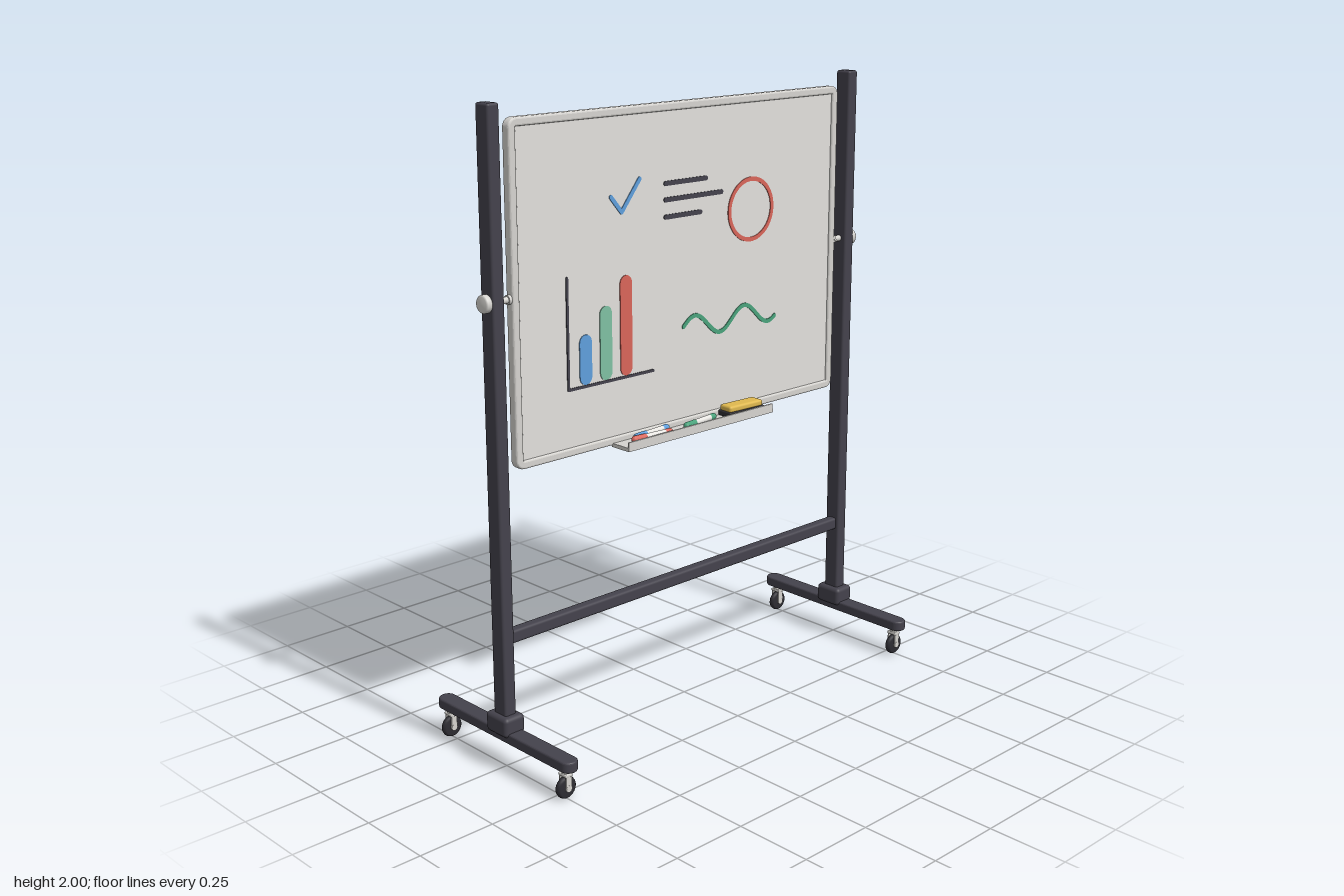
import * as THREE from 'three';
import { RoundedBoxGeometry } from 'three/addons/geometries/RoundedBoxGeometry.js';

const mat = (name, color) => Object.assign(new THREE.MeshStandardMaterial({ color }), { name });

export function createModel() {
  const M = {
    steel: mat('dark steel', 0x44424c),
    rubber: mat('black rubber', 0x2e2d33),
    metal: mat('light aluminium', 0xd6d4d0),
    panel: mat('board surface', 0xe2e0dc),
    white: mat('marker white', 0xf2f0ec),
    blue: mat('blue ink', 0x5f9fdc),
    red: mat('red ink', 0xd9655a),
    green: mat('green ink', 0x4aa37c),
    paleGreen: mat('pale green ink', 0x7fc0a3),
    yellow: mat('eraser yellow', 0xe0b94f),
  };
  const model = new THREE.Group();
  model.name = 'rollingWhiteboard';

  const add = (name, geo, material, x = 0, y = 0, z = 0, parent = model) => {
    const mesh = new THREE.Mesh(geo, material);
    mesh.name = name;
    mesh.position.set(x, y, z);
    parent.add(mesh);
    return mesh;
  };
  const rbox = (w, h, d, r) => new RoundedBoxGeometry(w, h, d, 3, r);
  const cyl = (r, h, axis = 'y', r2 = r) => {
    const g = new THREE.CylinderGeometry(r2, r, h, 24);
    if (axis === 'x') g.rotateZ(-Math.PI / 2);
    if (axis === 'z') g.rotateX(Math.PI / 2);
    return g;
  };
  const roundRect = (S, w, h, r) => {
    const s = new S(), x = w / 2, y = h / 2;
    s.moveTo(-x + r, -y);
    s.absarc(x - r, -y + r, r, -Math.PI / 2, 0);
    s.absarc(x - r, y - r, r, 0, Math.PI / 2);
    s.absarc(-x + r, y - r, r, Math.PI / 2, Math.PI);
    s.absarc(-x + r, -y + r, r, Math.PI, Math.PI * 1.5);
    s.closePath();
    return s;
  };

  // Two uprights, each with a foot, casters and a pivot
  for (const side of [-1, 1]) {
    const stand = new THREE.Group();
    stand.name = side > 0 ? 'leftStand' : 'rightStand';
    stand.position.x = side * 0.75;
    model.add(stand);
    add('post', rbox(0.042, 1.88, 0.058, 0.008), M.steel, 0, 1.06, 0, stand);
    add('postSocket', rbox(0.076, 0.064, 0.1, 0.014), M.steel, 0, 0.147, 0, stand);

    const foot = new THREE.ExtrudeGeometry(roundRect(THREE.Shape, 0.043, 0.628, 0.0214), {
      depth: 0.023, bevelThickness: 0.006, bevelSize: 0.006, bevelSegments: 3, curveSegments: 10,
    });
    foot.rotateX(-Math.PI / 2);
    add('foot', foot, M.steel, 0, 0.101, 0, stand);

    for (const z of [-0.278, 0.278]) {
      const caster = new THREE.Group();
      caster.name = 'caster';
      caster.position.z = z;
      stand.add(caster);
      add('casterStem', cyl(0.012, 0.024), M.metal, 0, 0.088, 0, caster);
      add('forkTop', rbox(0.026, 0.01, 0.036, 0.003), M.metal, 0, 0.077, 0, caster);
      add('wheel', rbox(0.001, 0.001, 0.001, 0.0002), M.rubber, 0, 0.035, 0, caster).geometry =
        new THREE.LatheGeometry([[0, -0.011], [0.028, -0.011], [0.033, -0.007], [0.035, 0],
          [0.033, 0.007], [0.028, 0.011], [0, 0.011]].map(p => new THREE.Vector2(...p)), 28).rotateX(Math.PI / 2);
      for (const s of [-1, 1]) {
        add('forkArm', rbox(0.022, 0.046, 0.005, 0.002), M.metal, 0, 0.056, s * 0.0145, caster);
        add('axleCap', cyl(0.011, 0.006, 'z'), M.metal, 0, 0.035, s * 0.0145, caster);
      }
    }

    // Pivot rod, collar and clamping knob
    add('pivotRod', cyl(0.01, 0.1, 'x'), M.metal, -side * 0.015, 1.44, 0, stand);
    add('pivotCollar', cyl(0.014, 0.01, 'x'), M.metal, -side * 0.055, 1.44, 0, stand);
    const knob = new THREE.LatheGeometry([[0, 0], [0.024, 0], [0.027, 0.004], [0.027, 0.018],
      [0.023, 0.023], [0, 0.024]].map(p => new THREE.Vector2(...p)), 28);
    knob.rotateZ(-side * Math.PI / 2);
    add('pivotKnob', knob, M.metal, side * 0.018, 1.44, 0, stand);
  }
  add('crossbar', rbox(1.47, 0.042, 0.036, 0.009), M.steel, 0, 0.418, 0);

  // Board with rounded frame
  const outline = roundRect(THREE.Shape, 1.368, 1.012, 0.022);
  outline.holes.push(roundRect(THREE.Path, 1.34, 0.984, 0.008));
  const frame = new THREE.ExtrudeGeometry(outline, {
    depth: 0.018, bevelThickness: 0.007, bevelSize: 0.006, bevelSegments: 3, curveSegments: 6,
  });
  add('boardFrame', frame, M.metal, 0, 1.442, -0.009);
  add('boardPanel', new THREE.BoxGeometry(1.336, 0.98, 0.018), M.panel, 0, 1.442, 0);

  // Drawn strokes: thin round-ended ribbons along a path
  const drawing = new THREE.Group();
  drawing.name = 'drawing';
  drawing.position.z = 0.0085;
  model.add(drawing);
  const thin = shape => new THREE.ExtrudeGeometry(shape, { depth: 0.003, bevelEnabled: false, curveSegments: 32 });
  const stroke = (name, pts, width, material) => {
    const r = width / 2, n = pts.length, left = [], right = [], caps = [[], []];
    const dir = i => {
      const a = pts[Math.max(i - 1, 0)], b = pts[Math.min(i + 1, n - 1)];
      return Math.atan2(b[1] - a[1], b[0] - a[0]);
    };
    const at = (p, a) => new THREE.Vector2(p[0] + r * Math.cos(a), p[1] + r * Math.sin(a));
    pts.forEach((p, i) => {
      right.push(at(p, dir(i) - Math.PI / 2));
      left.unshift(at(p, dir(i) + Math.PI / 2));
    });
    for (let k = 1; k < 10; k++) {
      caps[0].push(at(pts[n - 1], dir(n - 1) - Math.PI / 2 + k * Math.PI / 10));
      caps[1].push(at(pts[0], dir(0) + Math.PI / 2 + k * Math.PI / 10));
    }
    add(name, thin(new THREE.Shape([...right, ...caps[0], ...left, ...caps[1]])), material, 0, 0, 0, drawing);
  };
  stroke('tickShort', [[-0.31, 1.692], [-0.268, 1.643]], 0.014, M.blue);
  stroke('tickLong', [[-0.268, 1.643], [-0.195, 1.735]], 0.014, M.blue);
  for (const [y, x] of [[1.71, 0.084], [1.66, 0.152], [1.607, 0.06]])
    stroke('noteLine', [[-0.088, y], [x, y]], 0.015, M.steel);
  stroke('chartAxisY', [[-0.485, 1.135], [-0.485, 1.473]], 0.009, M.steel);
  stroke('chartAxisX', [[-0.485, 1.135], [-0.143, 1.135]], 0.009, M.steel);
  for (const [x, top, m] of [[-0.417, 1.27, M.blue], [-0.336, 1.345, M.paleGreen], [-0.254, 1.427, M.red]])
    stroke('chartBar', [[x, 1.164], [x, top]], 0.048, m);
  const wave = Array.from({ length: 61 }, (_, i) => {
    const x = -0.012 + 0.414 * i / 60;
    return [x, 1.246 + 0.035 * Math.cos(2 * Math.PI * (x - 0.037) / 0.222)];
  });
  stroke('wave', wave, 0.014, M.green);
  const ring = new THREE.Shape().absarc(0, 0, 0.104, 0, Math.PI * 2);
  ring.holes.push(new THREE.Path().absarc(0, 0, 0.09, 0, Math.PI * 2));
  add('circle', thin(ring), M.red, 0.286, 1.59, 0, drawing);

  // Pen tray with front lip
  add('trayFloor', new THREE.BoxGeometry(0.636, 0.012, 0.078), M.metal, 0, 0.931, 0.05);
  add('trayLip', rbox(0.636, 0.03, 0.006, 0.002), M.metal, 0, 0.94, 0.086);

  // Markers
  for (const [x, z, turn, m] of [[-0.175, 0.037, 0.09, M.blue], [-0.197, 0.064, -0.08, M.red], [0.02, 0.053, 0.14, M.green]]) {
    const pen = new THREE.Group();
    pen.name = 'marker';
    pen.position.set(x, 0.948, z);
    pen.rotation.y = turn;
    model.add(pen);
    add('markerBody', cyl(0.01, 0.09, 'x'), M.white, 0.015, 0, 0, pen);
    add('markerCap', new THREE.CapsuleGeometry(0.0112, 0.038, 6, 16).rotateZ(Math.PI / 2), M[m === M.blue ? 'blue' : m === M.red ? 'red' : 'green'], -0.05, 0, 0, pen);
    add('markerEnd', new THREE.CapsuleGeometry(0.0105, 0.016, 6, 16).rotateZ(Math.PI / 2), m, 0.06, 0, 0, pen);
  }

  // Eraser
  const eraser = new THREE.Group();
  eraser.name = 'eraser';
  eraser.position.set(0.211, 0.937, 0.049);
  eraser.rotation.y = -0.05;
  model.add(eraser);
  add('eraserFelt', rbox(0.152, 0.018, 0.06, 0.004), M.rubber, 0, 0.009, 0, eraser);
  add('eraserGrip', rbox(0.144, 0.022, 0.052, 0.008), M.yellow, 0, 0.026, 0, eraser);

  return model;
}
